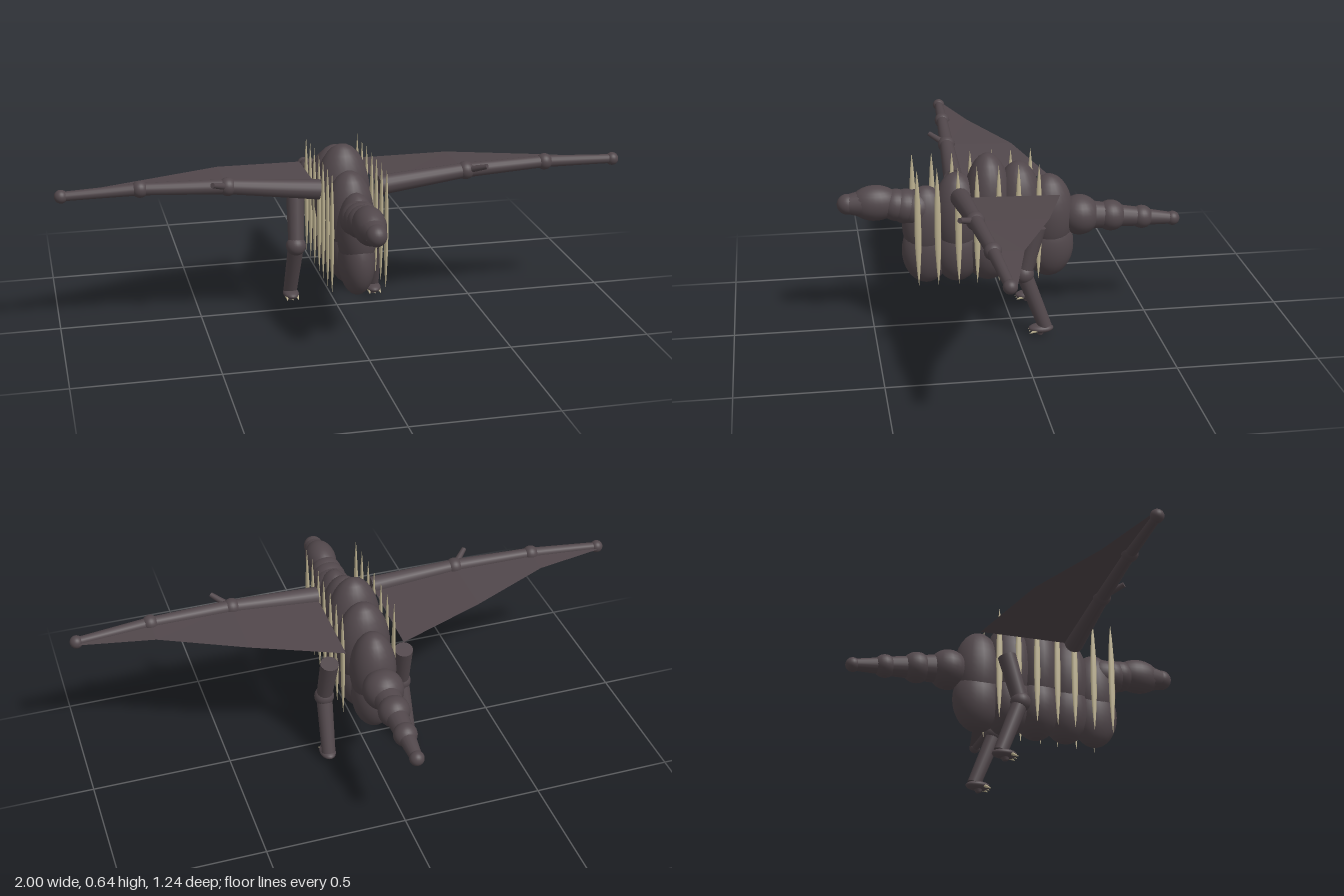
import * as THREE from 'three';

const mat = (name, color, side = THREE.FrontSide) => {
  const m = new THREE.MeshStandardMaterial({ color, side });
  m.name = name;
  return m;
};

export function createModel() {
  const model = new THREE.Group();
  model.name = 'wingedCreature';
  const hide = mat('darkHide', 0x51474b);
  const membraneHide = mat('wingMembrane', 0x51474b, THREE.DoubleSide);
  const bone = mat('paleBone', 0xbdb291);
  const V = (p) => new THREE.Vector3(...p);

  function add(name, geometry, material, parent = model) {
    const mesh = new THREE.Mesh(geometry, material);
    mesh.name = name;
    parent.add(mesh);
    return mesh;
  }
  function ball(name, p, r, material = hide, parent = model) {
    const mesh = add(name, new THREE.SphereGeometry(1, 24, 16), material, parent);
    mesh.position.set(...p);
    if (Array.isArray(r)) mesh.scale.set(...r);
    else mesh.scale.setScalar(r);
    return mesh;
  }
  // tapered limb from a to b
  function limb(name, a, b, ra, rb, material = hide, parent = model) {
    const dir = V(b).sub(V(a));
    const mesh = add(name, new THREE.CylinderGeometry(rb, ra, dir.length(), 16), material, parent);
    mesh.position.copy(V(a)).addScaledVector(dir, 0.5);
    mesh.quaternion.setFromUnitVectors(new THREE.Vector3(0, 1, 0), dir.normalize());
    return mesh;
  }

  // trunk: [z, top, half width, half length] per segment, an upper and a lower lobe each
  [[0.305, 0.53, 0.068, 0.085], [0.195, 0.575, 0.085, 0.085], [0.083, 0.64, 0.1, 0.086],
    [-0.027, 0.605, 0.098, 0.086], [-0.138, 0.552, 0.082, 0.088]].forEach(([z, top, w, len]) => {
    const ry = (top - 0.25) / 2;
    ball('backSegment', [0, top - ry, z], [w, ry, len]);
    ball('bellySegment', [0, 0.29, z], [w * 0.92, 0.123, len + 0.003]);
  });

  // neck, head and snout
  [[0.34, 0.45, 0.066], [0.375, 0.458, 0.062], [0.41, 0.465, 0.057]].forEach(([z, y, r]) =>
    ball('neckSegment', [0, y, z], r));
  ball('head', [0, 0.476, 0.483], [0.056, 0.064, 0.088]);
  limb('muzzle', [0, 0.476, 0.53], [0, 0.476, 0.575], 0.047, 0.036);
  ball('snout', [0, 0.476, 0.579], [0.036, 0.037, 0.038]);

  // tail
  const tail = [[-0.25, 0.393, 0.073], [-0.365, 0.384, 0.056], [-0.48, 0.372, 0.042], [-0.595, 0.36, 0.026]];
  tail.forEach(([z, y, r], i) => {
    ball('tailSegment', [0, y, z], r);
    if (i < 3) {
      const [z2, y2, r2] = tail[i + 1];
      limb('tailLink', [0, y, z], [0, y2, z2], r * 0.75, r2 * 0.8);
    }
  });

  // bone spindle, turned once and reused for every rib
  const spindle = new THREE.LatheGeometry(
    [[0, -0.218], [0.5, -0.16], [0.9, -0.08], [1, 0], [0.9, 0.08], [0.5, 0.16], [0, 0.218]]
      .map(([x, y]) => new THREE.Vector2(x * 0.012, y)), 10);

  for (const s of [1, -1]) {
    const side = s > 0 ? 'left' : 'right';
    const P = ([x, y, z]) => [x * s, y, z];

    for (const z of [0.342, 0.272, 0.199, 0.133, 0.056, -0.014, -0.086]) {
      const rib = add(side + 'Rib', spindle, bone);
      rib.position.set(s * 0.094, 0.406, z);
      rib.scale.x = 0.6;
    }

    // wing bones
    const wing = new THREE.Group();
    wing.name = side + 'Wing';
    model.add(wing);
    const arm = [[0.105, 0.516, 0.193], [0.42, 0.545, 0.181], [0.715, 0.552, 0.165], [0.977, 0.54, 0.15]];
    const thick = [0.035, 0.026, 0.021, 0.016];
    const joint = [0, 0.032, 0.029, 0.023];
    for (let i = 0; i < 3; i++) {
      limb('wingBone', P(arm[i]), P(arm[i + 1]), thick[i], thick[i + 1], hide, wing);
      ball('wingJoint', P(arm[i + 1]), joint[i + 1], hide, wing);
    }
    limb('wingClaw', P([0.42, 0.545, 0.181]), P([0.48, 0.572, 0.24]), 0.013, 0.009, hide, wing);

    // membrane panels hung from the bones
    const trail = [[0.105, 0.508, -0.16], [0.42, 0.539, -0.066], [0.715, 0.549, 0.065], [0.977, 0.54, 0.128]];
    const points = [];
    for (let i = 0; i < 3; i++) {
      const [a, b, c, d] = [arm[i], arm[i + 1], trail[i + 1], trail[i]].map(P);
      const quad = s > 0 ? [a, b, c, a, c, d] : [a, c, b, a, d, c];
      // wound so that the upper face is the front
      quad.reverse().forEach((p) => points.push(...p));
    }
    const sheet = new THREE.BufferGeometry();
    sheet.setAttribute('position', new THREE.Float32BufferAttribute(points, 3));
    sheet.computeVertexNormals();
    add('wingMembrane', sheet, membraneHide, wing);

    // leg and foot
    const leg = new THREE.Group();
    leg.name = side + 'Leg';
    model.add(leg);
    const knee = [0.146, 0.234, -0.025];
    const ankle = [0.155, 0.033, -0.1];
    limb('thigh', P([0.138, 0.408, -0.072]), P(knee), 0.033, 0.028, hide, leg);
    ball('knee', P(knee), 0.036, hide, leg);
    limb('shin', P(knee), P(ankle), 0.029, 0.025, hide, leg);
    ball('foot', P([0.155, 0.026, -0.086]), [0.029, 0.016, 0.045], hide, leg);
    for (const dx of [-0.018, 0, 0.018]) {
      limb('toeClaw', P([0.155 + dx, 0.024, -0.068]), P([0.155 + dx * 1.15, 0.015, -0.042]),
        0.008, 0.001, bone, leg);
    }
    limb('heel', P([0.155, 0.02, -0.085]), P([0.155, 0.002, -0.082]), 0.018, 0.01, hide, leg);
  }

  return model;
}
